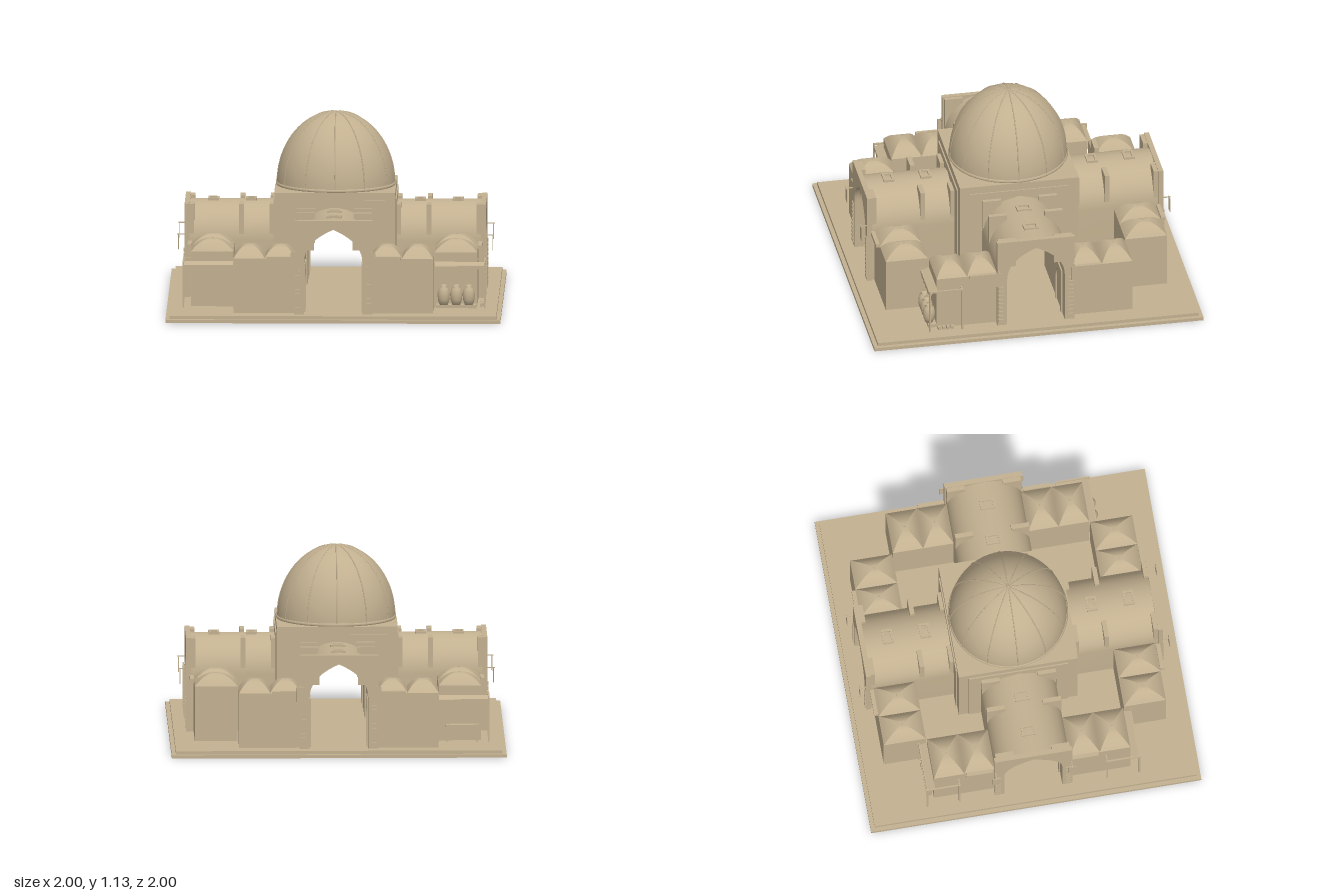
import * as THREE from 'three';
import { toCreasedNormals } from 'three/addons/utils/BufferGeometryUtils.js';

const FLOOR = 0.04;

export function createModel() {
  const root = new THREE.Group();
  root.name = 'domedMarket';
  const sandstone = new THREE.MeshStandardMaterial({ color: 0xc2b090, side: THREE.DoubleSide });
  sandstone.name = 'sandstone';

  const add = (parent, name, geo, x = 0, y = 0, z = 0) => {
    const m = new THREE.Mesh(geo, sandstone);
    m.name = name;
    m.position.set(x, y, z);
    parent.add(m);
    return m;
  };
  const box = (parent, name, w, h, d, x, y, z) =>
    add(parent, name, new THREE.BoxGeometry(w, h, d), x, y, z);
  const group = (parent, name) => {
    const g = new THREE.Group();
    g.name = name;
    parent.add(g);
    return g;
  };
  const extrude = (shape, depth) => toCreasedNormals(
    new THREE.ExtrudeGeometry(shape, { depth, bevelEnabled: false, curveSegments: 14 }), 0.5);

  // Wall or vault with a pointed arch opening down to the floor
  const archShape = (outerW, outerTop, vaulted, w = 0.175, spring = 0.35, apex = 0.55) => {
    const s = new THREE.Shape();
    s.moveTo(-outerW, FLOOR);
    if (vaulted) {
      s.lineTo(-outerW, 0.38);
      s.bezierCurveTo(-outerW, 0.5, -0.13, outerTop, 0, outerTop);
      s.bezierCurveTo(0.13, outerTop, outerW, 0.5, outerW, 0.38);
    } else {
      s.lineTo(-outerW, outerTop);
      s.lineTo(outerW, outerTop);
    }
    s.lineTo(outerW, FLOOR);
    s.lineTo(w, FLOOR);
    s.lineTo(w, spring);
    const c = spring + (apex - spring) * 0.55, d = apex - (apex - spring) * 0.16;
    s.bezierCurveTo(w, c, w * 0.42, d, 0, apex);
    s.bezierCurveTo(-w * 0.42, d, -w, c, -w, spring);
    s.lineTo(-w, FLOOR);
    s.closePath();
    return s;
  };

  // Rectangular frame lying in the XY plane
  const frameShape = (w, h, border) => {
    const s = new THREE.Shape();
    const rect = (p, a, b) => {
      p.moveTo(-a, -b); p.lineTo(a, -b); p.lineTo(a, b); p.lineTo(-a, b); p.closePath();
      return p;
    };
    rect(s, w / 2, h / 2);
    s.holes.push(rect(new THREE.Path(), w / 2 - border, h / 2 - border));
    return s;
  };

  // Four-sided shallow vault over a room
  const domicalVault = (w, d, rise) => {
    const pts = [];
    for (let i = 0; i <= 10; i++) {
      const t = 1 - i / 10;
      pts.push(new THREE.Vector2(t * Math.SQRT2, rise * (1 - t ** 2.2)));
    }
    const g = new THREE.LatheGeometry(pts, 4, Math.PI / 4);
    g.scale(w / 2, 1, d / 2);
    return toCreasedNormals(g, 0.3);
  };

  // Stepped platform
  box(root, 'platformLower', 2, 0.02, 2, 0, 0.01, 0);
  box(root, 'platformUpper', 1.95, 0.02, 1.95, 0, 0.03, 0);

  // Roof plate of the central hall, open under the dome
  const roof = new THREE.Shape();
  roof.moveTo(-0.36, -0.36);
  roof.lineTo(0.36, -0.36); roof.lineTo(0.36, 0.36); roof.lineTo(-0.36, 0.36);
  roof.closePath();
  roof.holes.push(new THREE.Path().absarc(0, 0, 0.335, 0, Math.PI * 2, true));
  const roofGeo = extrude(roof, 0.02).rotateX(-Math.PI / 2);
  add(root, 'hallRoof', roofGeo, 0, 0.67, 0);

  // Dome with base ring and slender ribs
  const R = 0.352, H = 0.435, domeY = 0.695;
  const domePts = [];
  for (let i = 0; i <= 28; i++) {
    const a = (i / 28) * Math.PI / 2;
    domePts.push(new THREE.Vector2(R * Math.cos(a), H * Math.sin(a)));
  }
  domePts[28].x = 0;
  add(root, 'dome', new THREE.LatheGeometry(domePts, 64), 0, domeY, 0);
  const ring = add(root, 'domeRing', new THREE.TorusGeometry(0.348, 0.011, 6, 64), 0, 0.698, 0);
  ring.rotation.x = Math.PI / 2;
  const ribCurve = new THREE.CatmullRomCurve3(
    domePts.filter((_, i) => i % 4 === 0).map(p => new THREE.Vector3(p.x, p.y, 0)));
  const ribGeo = new THREE.TubeGeometry(ribCurve, 24, 0.004, 5);
  const ribs = group(root, 'domeRibs');
  for (let i = 0; i < 12; i++)
    add(ribs, 'domeRib', ribGeo, 0, domeY, 0).rotation.y = i * Math.PI / 6;

  // Four identical arms around the hall
  for (let k = 0; k < 4; k++) {
    const arm = group(root, 'arm');
    arm.rotation.y = k * Math.PI / 2;
    add(arm, 'hallWall', extrude(archShape(0.36, 0.69, false), 0.11), 0, 0, 0.25);
    add(arm, 'hallWallFrame', extrude(archShape(0.3, 0.645, false, 0.23, 0.4, 0.61), 0.008), 0, 0, 0.36);
    add(arm, 'barrelVault', extrude(archShape(0.225, 0.6, true), 0.51), 0, 0, 0.36);
    add(arm, 'portal', extrude(archShape(0.235, 0.605, false), 0.03), 0, 0, 0.87);

    // Roof lights
    for (const z of [0.505, 0.73])
      add(arm, 'roofLight', extrude(frameShape(0.09, 0.065, 0.014), 0.017).rotateX(-Math.PI / 2), 0, 0.592, z);

    for (const s of [-1, 1]) {
      // Haunch walls beside the vault
      for (const z of [0.378, 0.56, 0.857])
        box(arm, 'haunchWall', 0.11, 0.18, 0.028, s * 0.17, 0.511, z);

      // Quoin blocks on the portal
      for (let i = 0; i < 10; i++)
        box(arm, 'quoin', 0.03, 0.02, 0.008, s * 0.212, 0.07 + i * 0.028, 0.903);

      // Hanging banner on a bracket
      box(arm, 'bannerBracket', 0.006, 0.006, 0.05, s * 0.23, 0.42, 0.92);
      box(arm, 'banner', 0.046, 0.09, 0.004, s * 0.23, 0.374, 0.937);

      // Doorway surround on the inner wall of the passage
      const door = add(arm, 'passageDoorFrame',
        extrude(archShape(0.1, 0.33, false, 0.07, 0.2, 0.29), 0.008), s * 0.175, 0, 0.72);
      door.rotation.y = -s * Math.PI / 2;

      // Two vaulted rooms on each flank
      for (const [x, w] of [[0.318, 0.184], [0.5025, 0.185]]) {
        box(arm, 'room', w, 0.33, 0.255, s * x, FLOOR + 0.165, 0.7275);
        add(arm, 'roomVault', domicalVault(w, 0.255, 0.07), s * x, 0.37, 0.7275);
        add(arm, 'vaultKnob', new THREE.SphereGeometry(0.005, 8, 6), s * x, 0.44, 0.7275);
      }
      box(arm, 'roomCornice', 0.16, 0.022, 0.024, s * 0.32, 0.372, 0.867);
    }
  }

  // Market stalls with a rippled canopy
  const stallAt = (sx, sz) => {
    const stall = group(root, 'stall');
    stall.scale.set(sx, 1, sz);
    const ripple = x => 0.006 * Math.sin((x - 0.6) * 105);
    const canopy = new THREE.PlaneGeometry(0.3, 0.05, 40, 2).rotateX(-Math.PI / 2);
    canopy.translate(0.75, 0, 0.62);
    const valance = new THREE.PlaneGeometry(0.3, 0.022, 40, 1);
    valance.translate(0.75, 0.282, 0.645);
    for (const g of [canopy, valance]) {
      const p = g.attributes.position;
      for (let i = 0; i < p.count; i++) {
        const x = p.getX(i), drop = (p.getZ(i) - 0.595) * 0.4;
        if (g === canopy) p.setY(i, 0.313 - drop);
        else if (p.getY(i) < 0.28) p.setY(i, p.getY(i) + ripple(x));
      }
      g.computeVertexNormals();
    }
    add(stall, 'stallCanopy', canopy);
    add(stall, 'stallValance', valance);
    for (const [x, z] of [[0.9, 0.643], [0.9, 0.447], [0.597, 0.643]])
      box(stall, 'stallPost', 0.01, 0.275, 0.01, x, FLOOR + 0.1375, z);
    box(stall, 'stallSideBeam', 0.01, 0.01, 0.2, 0.9, 0.31, 0.545);
    box(stall, 'stallFrontBeam', 0.31, 0.008, 0.008, 0.75, 0.292, 0.64);
    box(stall, 'stallBackBeam', 0.05, 0.008, 0.008, 0.877, 0.306, 0.447);
    return stall;
  };
  const jarStall = stallAt(1, 1);
  stallAt(-1, 1);
  const tableStall = stallAt(-1, -1);

  // Row of jars on a low bench, with goods beside it
  const jarGeo = new THREE.LatheGeometry([[0, 0], [0.024, 0], [0.034, 0.03], [0.037, 0.065],
    [0.029, 0.098], [0.015, 0.108], [0.018, 0.122], [0, 0.122]]
    .map(([x, y]) => new THREE.Vector2(x, y)), 20);
  box(jarStall, 'jarBench', 0.24, 0.02, 0.05, 0.73, FLOOR + 0.01, 0.62);
  for (let i = 0; i < 3; i++) add(jarStall, 'jar', jarGeo, 0.655 + i * 0.075, 0.06, 0.632);
  for (let i = 0; i < 4; i++)
    box(jarStall, 'goodsBox', 0.02, 0.02, 0.018, 0.88, FLOOR + 0.01, 0.505 + i * 0.026);

  // Trading table
  box(tableStall, 'tableTop', 0.2, 0.012, 0.04, 0.74, 0.135, 0.622);
  for (const x of [0.65, 0.83]) box(tableStall, 'tableLeg', 0.012, 0.09, 0.035, x, 0.085, 0.622);

  return root;
}
